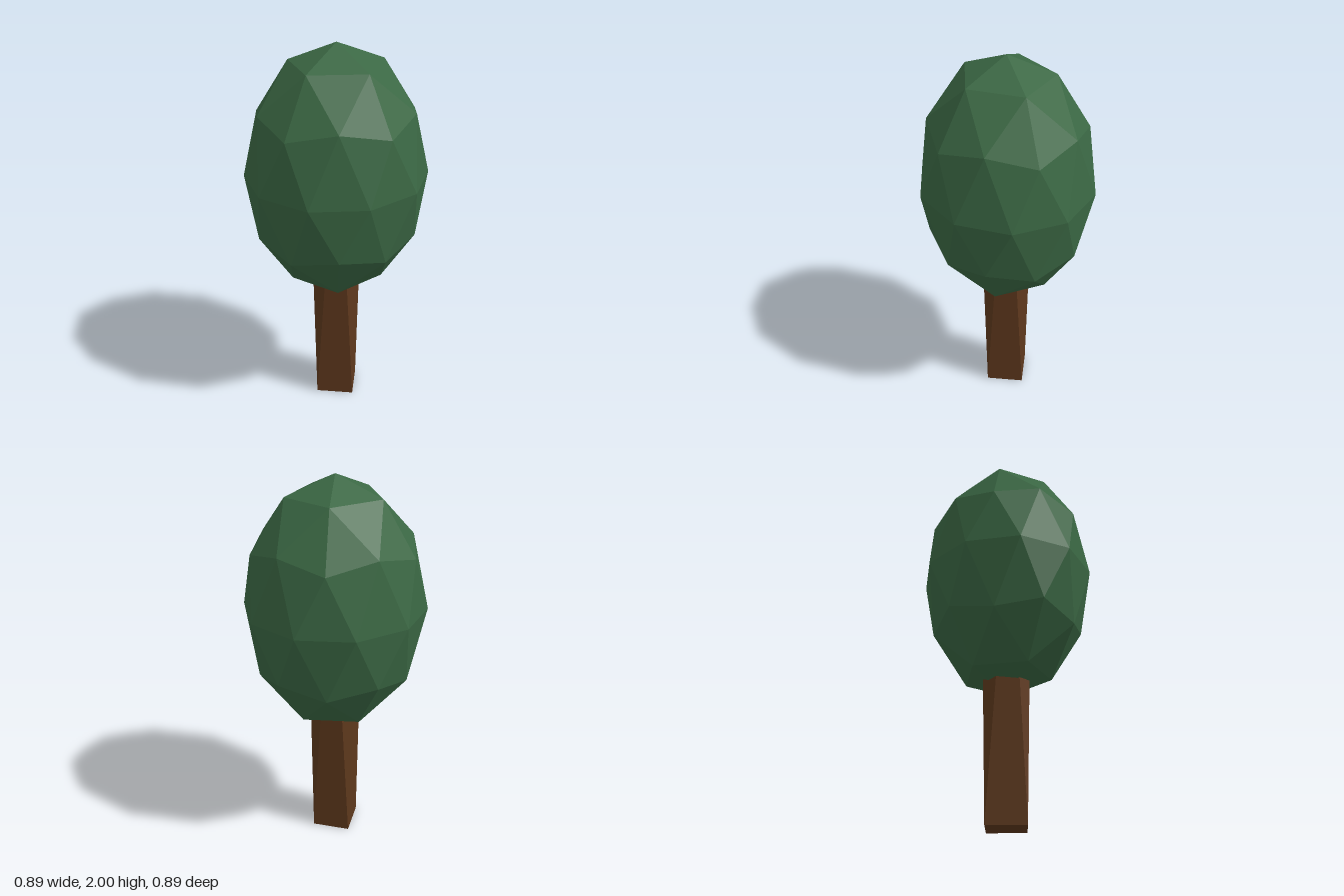
import * as THREE from 'three';
import { ConvexGeometry } from 'three/addons/geometries/ConvexGeometry.js';

// Four corners of a square ring at height y, turned by angle
function squareRing(radius, y, angle) {
  return [0, 1, 2, 3].map((i) => {
    const a = angle + (i * Math.PI) / 2;
    return new THREE.Vector3(radius * Math.cos(a), y, radius * Math.sin(a));
  });
}

function createTrunk() {
  // Square post that twists on its way up into the crown
  const turn = Math.atan2(0.135, 0.045);
  const geometry = new ConvexGeometry([
    ...squareRing(0.142, 0, turn),
    ...squareRing(0.142, 1.75, Math.PI - turn),
  ]);
  const material = new THREE.MeshStandardMaterial({ color: 0x5f391d, flatShading: true });
  const trunk = new THREE.Mesh(geometry, material);
  trunk.name = 'trunk';
  return trunk;
}

function createFoliage() {
  // Faceted ball with a vertex at each pole, stretched into an egg shape
  const golden = (1 + Math.sqrt(5)) / 2;
  const geometry = new THREE.IcosahedronGeometry(1, 1);
  geometry.rotateZ(-Math.atan(1 / golden));
  geometry.scale(0.468, 0.667, 0.445);
  geometry.translate(0, 1.333, 0);
  geometry.computeVertexNormals();
  const material = new THREE.MeshStandardMaterial({ color: 0x3b6844, flatShading: true });
  const foliage = new THREE.Mesh(geometry, material);
  foliage.name = 'foliage';
  return foliage;
}

export function createModel() {
  const tree = new THREE.Group();
  tree.name = 'tree';
  tree.add(createTrunk(), createFoliage());
  return tree;
}
